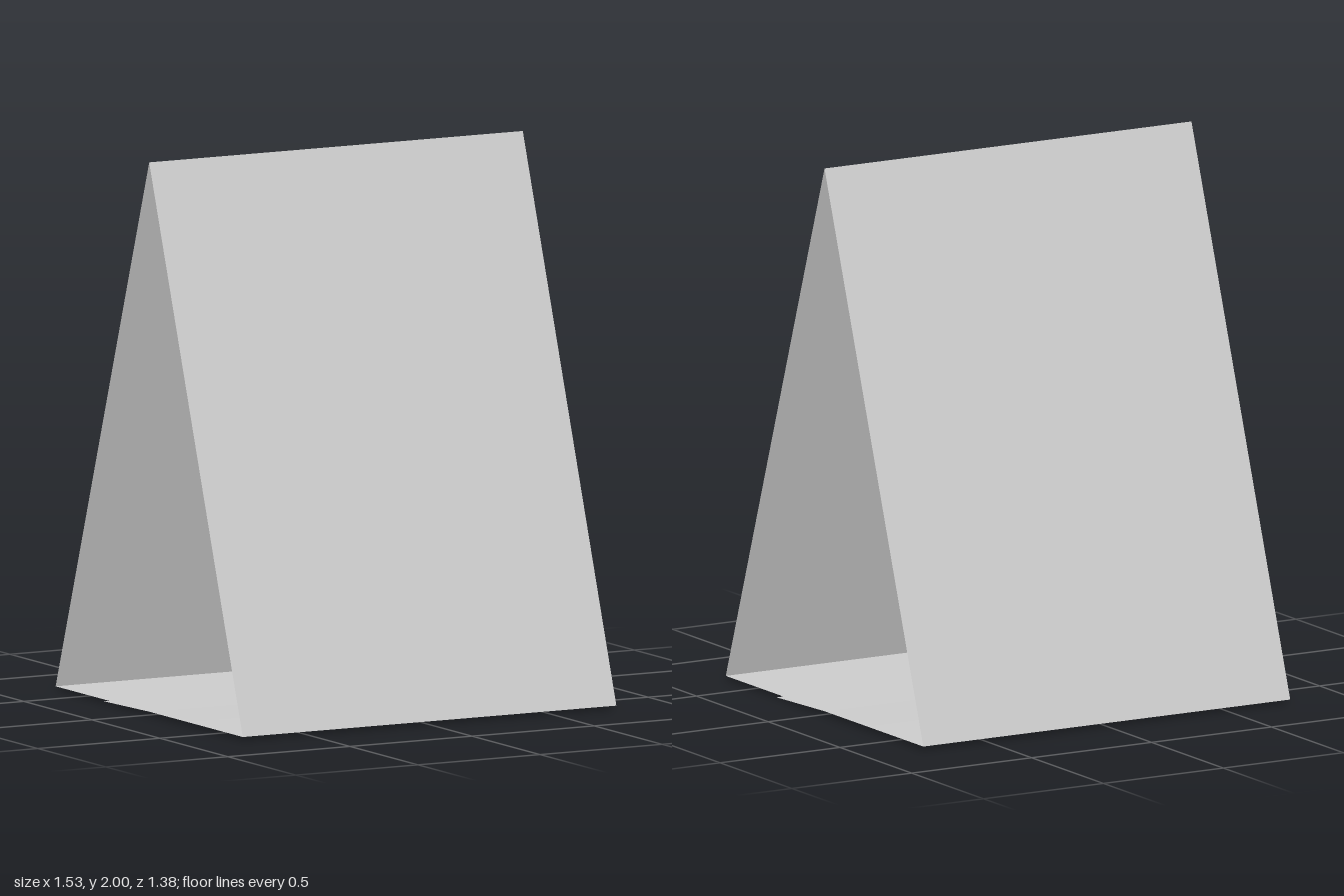
import * as THREE from 'three';

const HALF_W = 0.765;   // half the card width
const HALF_D = 0.688;   // half the depth at the foot
const FOLD_Y = 0.012;   // height of the bottom folds
const TIP = 0.335;      // how far each flap passes the middle

const paper = new THREE.MeshStandardMaterial({
  color: 0xcccccc, flatShading: true, side: THREE.DoubleSide,
});

// A thin sheet between x0 and x1 that follows a [z, y] profile
function sheet(name, x0, x1, profile) {
  const geometry = new THREE.PlaneGeometry(1, 1, 1, profile.length - 1);
  const pos = geometry.attributes.position;
  profile.forEach(([z, y], row) => {
    pos.setXYZ(row * 2, x0, y, z);
    pos.setXYZ(row * 2 + 1, x1, y, z);
  });
  geometry.computeVertexNormals();
  const mesh = new THREE.Mesh(geometry, paper);
  mesh.name = name;
  return mesh;
}

export function createModel() {
  const card = new THREE.Group();
  card.name = 'tentCard';

  const apex = [0, 2];
  const middle = [0, FOLD_Y];
  const frontFold = [HALF_D, FOLD_Y];
  const backFold = [-HALF_D, FOLD_Y];

  // Sloping panels
  card.add(sheet('frontPanel', -HALF_W, HALF_W, [apex, frontFold]));
  card.add(sheet('backPanel', -HALF_W, HALF_W, [backFold, apex]));

  // Folded-in floor flaps, whole up to the slit in the middle
  card.add(sheet('frontFlap', -HALF_W, HALF_W, [frontFold, middle]));
  card.add(sheet('backFlap', -HALF_W, HALF_W, [middle, backFold]));

  // Slit flap ends, interlocked: each has one half above and one below the other flap
  card.add(sheet('frontFlapUpperEnd', 0, HALF_W, [middle, [-TIP, 0.02]]));
  card.add(sheet('frontFlapLowerEnd', -HALF_W, 0, [middle, [-TIP, 0.005]]));
  card.add(sheet('backFlapUpperEnd', -HALF_W, 0, [[TIP, 0.02], middle]));
  card.add(sheet('backFlapLowerEnd', 0, HALF_W, [[TIP, 0], middle]));

  return card;
}
